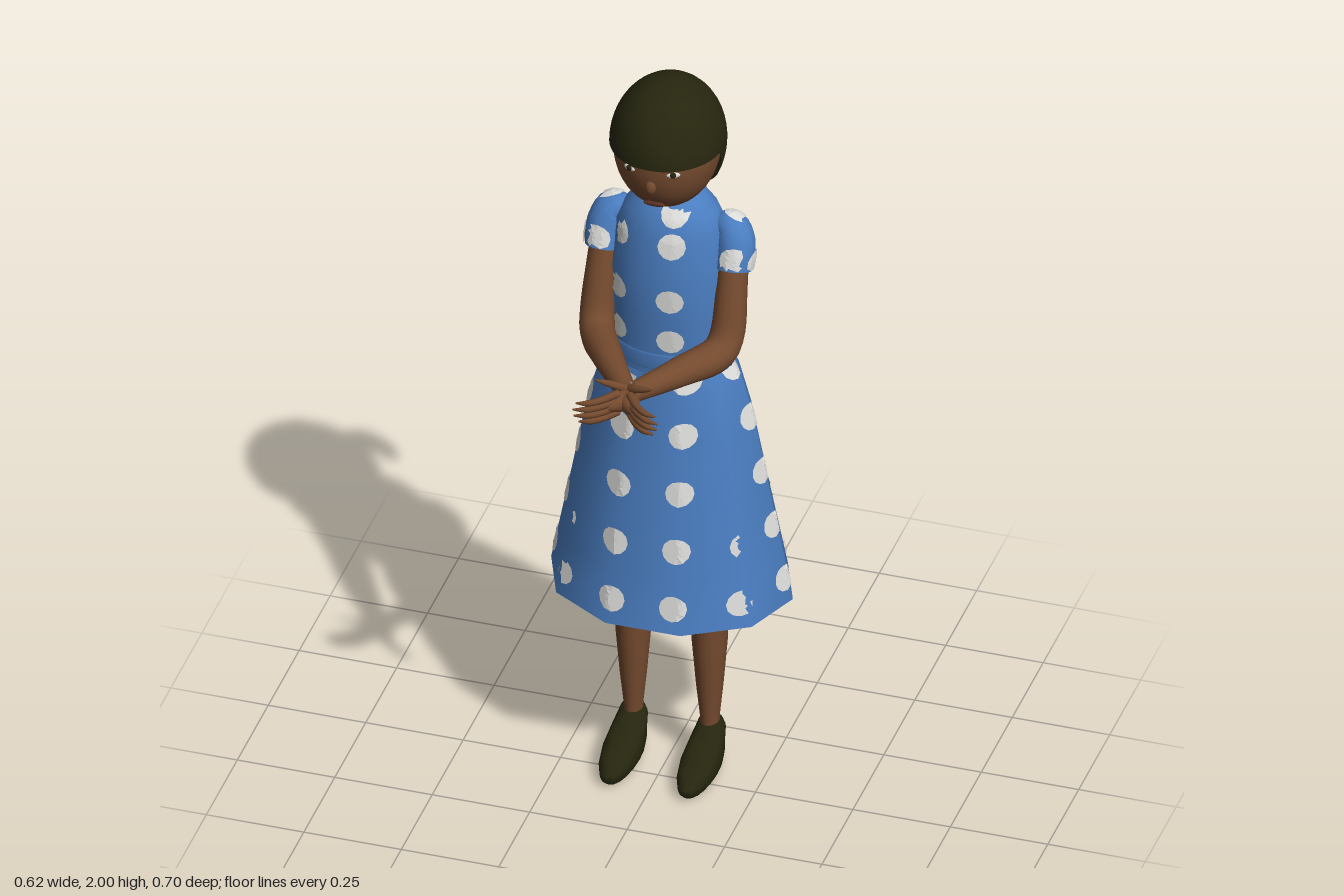
import * as THREE from 'three';
import { mergeVertices } from 'three/addons/utils/BufferGeometryUtils.js';

const mat = (name, color, side = THREE.FrontSide) => {
  const m = new THREE.MeshStandardMaterial({ color, side });
  m.name = name;
  return m;
};

// Weld seams and recompute smooth normals
function smooth(g) {
  g.deleteAttribute('uv');
  g.deleteAttribute('normal');
  const w = mergeVertices(g, 1e-5);
  w.computeVertexNormals();
  return w;
}

// Stack of horizontal ellipses, top to bottom: [y, rx, rz, cz]
function loft(rows, sides, cx = 0) {
  const g = new THREE.CylinderGeometry(1, 1, 1, sides, rows.length - 1, true, Math.PI / 2);
  const p = g.attributes.position;
  for (let i = 0; i < p.count; i++) {
    const [y, rx, rz, cz] = rows[Math.round((0.5 - p.getY(i)) * (rows.length - 1))];
    p.setXYZ(i, cx + p.getX(i) * rx, y, cz + p.getZ(i) * rz);
  }
  return smooth(g);
}

// Tapered tube through points; radii are spread evenly along its length
function limb(points, radii, s = 1, segs = 14, sides = 14) {
  const curve = new THREE.CatmullRomCurve3(points.map(([x, y, z]) => new THREE.Vector3(x * s, y, z)));
  const g = new THREE.TubeGeometry(curve, segs, 1, sides, false);
  const p = g.attributes.position, v = new THREE.Vector3();
  for (let i = 0; i < p.count; i++) {
    const t = Math.floor(i / (sides + 1)) / segs;
    const f = t * (radii.length - 1), k = Math.min(Math.floor(f), radii.length - 2);
    const r = THREE.MathUtils.lerp(radii[k], radii[k + 1], f - k);
    const c = curve.getPointAt(t);
    v.fromBufferAttribute(p, i).sub(c).multiplyScalar(r).add(c);
    p.setXYZ(i, v.x, v.y, v.z);
  }
  return smooth(g);
}

// Thin round spots laid onto a cloth surface; spots: [axis, sign, u, v]
function dots(mesh, spots, offsets = [0.004], radius = 0.034) {
  const ray = new THREE.Raycaster(), out = [], n = 12, rings = 4;
  mesh.updateMatrixWorld();
  for (const [axis, sign, u, v] of spots) {
    const hit = (ring, k) => {
      const a = (k / n) * Math.PI * 2, r = (radius * ring) / rings;
      const a1 = u + r * Math.cos(a), a2 = v + r * Math.sin(a);
      const o = axis === 'z' ? new THREE.Vector3(a1, a2, 3 * sign)
        : axis === 'x' ? new THREE.Vector3(3 * sign, a2, a1) : new THREE.Vector3(a1, 3 * sign, a2);
      const d = new THREE.Vector3();
      d[axis] = -sign;
      ray.set(o, d);
      const h = ray.intersectObject(mesh)[0];
      return h && h.face.normal[axis] * sign > 0.6 ? h : null;
    };
    const grid = [];
    for (let r = 0; r <= rings; r++) grid.push(Array.from({ length: n }, (_, k) => hit(r, k)));
    const tri = (...hs) => {
      if (hs.some((h) => !h)) return;
      for (const off of offsets)
        for (const h of hs) out.push(...h.point.clone().addScaledVector(h.face.normal, off).toArray());
    };
    for (let r = 0; r < rings; r++)
      for (let k = 0; k < n; k++) {
        const j = (k + 1) % n;
        tri(grid[r][k], grid[r + 1][k], grid[r + 1][j]);
        if (r) tri(grid[r][k], grid[r + 1][j], grid[r][j]);
      }
  }
  const g = new THREE.BufferGeometry();
  g.setAttribute('position', new THREE.Float32BufferAttribute(out, 3));
  g.computeVertexNormals();
  return g;
}

// Hair cap: ellipsoid whose lower edge depends on the angle from the front
function hairCap() {
  const cols = 72, rows = 20, pos = [], idx = [];
  const cy = 1.828, ry = 0.172;
  const edges = [[0, 1.835], [82, 1.83], [90, 1.75], [102, 1.71], [118, 1.675], [180, 1.662]];
  for (let i = 0; i <= cols; i++) {
    const a = (i / cols) * Math.PI * 2;
    const deg = 180 - Math.abs(180 - (i / cols) * 360);
    const k = Math.min(edges.findIndex((e, q) => q > 0 && deg <= e[0] + 1e-6), edges.length - 1);
    const [d0, y0] = edges[k - 1], [d1, y1] = edges[k];
    const low = THREE.MathUtils.mapLinear(deg, d0, d1, y0, y1);
    const end = Math.acos((low - cy) / ry);
    for (let j = 0; j <= rows; j++) {
      const t = (end * j) / rows;
      pos.push(0.143 * Math.sin(t) * Math.sin(a), cy + ry * Math.cos(t), -0.083 + 0.16 * Math.sin(t) * Math.cos(a));
      if (i < cols && j < rows) {
        const p = i * (rows + 1) + j, q = p + rows + 1;
        idx.push(p, p + 1, q + 1, p, q + 1, q);
      }
    }
  }
  const g = new THREE.BufferGeometry();
  g.setAttribute('position', new THREE.Float32BufferAttribute(pos, 3));
  g.setIndex(idx);
  return smooth(g);
}

export function createModel() {
  const root = new THREE.Group();
  const skin = mat('brown skin', 0x744a2e);
  const blue = mat('blue cloth', 0x4a7dc0, THREE.DoubleSide);
  const white = mat('white dots', 0xdcdcda, THREE.DoubleSide);
  const dark = mat('dark hair and shoes', 0x26260f, THREE.DoubleSide);
  const lip = mat('lip', 0x5a3024);
  const add = (name, g, m) => {
    const mesh = new THREE.Mesh(g, m);
    mesh.name = name;
    root.add(mesh);
    return mesh;
  };
  const ball = (name, m, [x, y, z], [sx, sy, sz], turn = 0) => {
    const mesh = add(name, new THREE.SphereGeometry(1, 32, 24), m);
    mesh.position.set(x, y, z);
    mesh.scale.set(sx, sy, sz);
    mesh.rotation.y = turn;
  };

  // Skirt: ten-sided flare, open at the hem
  const skirt = add('skirt', loft([
    [1.18, 0.155, 0.126, -0.11], [1.13, 0.182, 0.137, -0.11], [1.01, 0.215, 0.16, -0.111],
    [0.8, 0.254, 0.197, -0.112], [0.65, 0.283, 0.224, -0.113], [0.51, 0.31, 0.25, -0.113],
  ], 10), blue);
  const spots = [];
  for (const y of [0.578, 0.73, 0.883, 1.036, 1.175])
    for (const s of [1, -1]) {
      for (const x of [-0.235, -0.083, 0.073, 0.225]) spots.push(['z', s, x, y]);
      for (const z of [-0.255, -0.1, 0.05]) spots.push(['x', s, z, y]);
    }
  add('skirtDots', dots(skirt, spots, [0.004, -0.004]), white);

  // Bodice and waistband
  const bodice = add('bodice', loft([
    [1.665, 0.06, 0.06, -0.12], [1.65, 0.085, 0.075, -0.117], [1.62, 0.115, 0.092, -0.115],
    [1.57, 0.138, 0.107, -0.113], [1.45, 0.149, 0.117, -0.104], [1.33, 0.149, 0.112, -0.103],
    [1.18, 0.148, 0.103, -0.103],
  ], 24), blue);
  add('waistband', loft([[1.245, 0.148, 0.106, -0.103], [1.24, 0.153, 0.11, -0.103],
    [1.2, 0.153, 0.109, -0.103], [1.195, 0.148, 0.104, -0.103]], 24), blue);
  const bodiceSpots = [];
  for (const s of [1, -1]) {
    for (const y of [1.29, 1.41, 1.56])
      for (const x of [-0.115, 0.032]) bodiceSpots.push(['z', s, x, y]);
    bodiceSpots.push(['z', s, 0.032, 1.64], ['x', s, -0.07, 1.29], ['x', s, -0.13, 1.4]);
  }
  add('bodiceDots', dots(bodice, bodiceSpots), white);

  // Neck, head and face
  add('neck', loft([[1.76, 0.058, 0.06, -0.11], [1.68, 0.058, 0.066, -0.115], [1.64, 0.068, 0.068, -0.12]], 20), skin);
  ball('head', skin, [0, 1.825, -0.075], [0.132, 0.169, 0.142]);
  ball('nose', skin, [0, 1.775, 0.06], [0.014, 0.02, 0.013]);
  ball('mouth', lip, [0, 1.708, 0.031], [0.028, 0.007, 0.006]);
  for (const s of [1, -1]) {
    ball('eyeWhite', white, [s * 0.056, 1.817, 0.052], [0.017, 0.008, 0.005], s * 0.4);
    ball('pupil', dark, [s * 0.056, 1.818, 0.055], [0.008, 0.008, 0.005], s * 0.4);
  }

  // Hair and ponytail
  add('hair', hairCap(), dark);
  add('ponytail', limb([[0, 1.735, -0.21], [0, 1.745, -0.25], [0, 1.715, -0.287], [0, 1.64, -0.314], [0, 1.545, -0.318]],
    [0.02, 0.034, 0.034, 0.032, 0.029, 0.025, 0.02, 0.001], 1, 24), dark);

  for (const s of [1, -1]) {
    // Puffed sleeve
    const sleeve = add('sleeve', limb([[0.115, 1.575, -0.125], [0.15, 1.57, -0.12], [0.166, 1.535, -0.108], [0.168, 1.475, -0.085]],
      [0.03, 0.046, 0.049, 0.048, 0.045], s), blue);
    add('sleeveDots', dots(sleeve, [['y', 1, s * 0.165, -0.135], ['x', s, -0.1, 1.495], ['z', 1, s * 0.175, 1.515],
      ['z', -1, s * 0.17, 1.5]]), white);

    // Arm bent forward, with the wrist crossing the middle
    add('arm', limb([[0.16, 1.56, -0.115], [0.167, 1.42, -0.068], [0.166, 1.31, -0.032], [0.155, 1.28, 0.0],
      [0.09, 1.28, 0.11], [0.012, 1.28, 0.225]],
    [0.036, 0.038, 0.039, 0.042, 0.044, 0.043, 0.038, 0.032, 0.026], s, 28, 16), skin);
    add('palm', limb([[0.02, 1.28, 0.215], [0, 1.278, 0.25], [-0.025, 1.275, 0.29], [-0.036, 1.275, 0.305]],
      [0.022, 0.026, 0.026, 0.01], s, 10, 10), skin);
    // Fingers fan outward, thumb on top
    for (let i = 0; i < 4; i++) {
      const y = 1.303 - i * 0.018, reach = [0.9, 1, 0.97, 0.8][i];
      add('finger', limb([[-0.015, y, 0.275], [-0.045, y - 0.001, 0.315],
        [-0.045 - 0.032 * reach, y - 0.003, 0.318 + 0.02 * reach],
        [-0.045 - 0.064 * reach, y - 0.004, 0.318 + 0.028 * reach]], [0.01, 0.01, 0.009, 0.008, 0.002], s, 10, 8), skin);
    }
    add('thumb', limb([[0.005, 1.29, 0.235], [-0.025, 1.312, 0.258], [-0.05, 1.322, 0.268], [-0.073, 1.332, 0.278]],
      [0.013, 0.012, 0.01, 0.008, 0.002], s, 10, 8), skin);

    // Leg and shoe
    add('leg', loft([[0.95, 0.055, 0.065, -0.11], [0.65, 0.05, 0.063, -0.11], [0.5, 0.046, 0.06, -0.11],
      [0.35, 0.043, 0.056, -0.11], [0.22, 0.033, 0.041, -0.11], [0.13, 0.024, 0.031, -0.111],
      [0.09, 0.024, 0.03, -0.111]], 18, s * 0.098), skin);
    add('shoe', loft([[0.118, 0.012, 0.015, -0.111], [0.112, 0.03, 0.034, -0.111], [0.092, 0.037, 0.045, -0.109],
      [0.075, 0.042, 0.075, -0.079], [0.057, 0.046, 0.112, -0.043], [0.035, 0.047, 0.128, -0.03],
      [0.015, 0.044, 0.126, -0.029], [0.002, 0.036, 0.11, -0.03], [0, 0.001, 0.001, -0.03]], 20, s * 0.1), dark);
  }
  return root;
}
